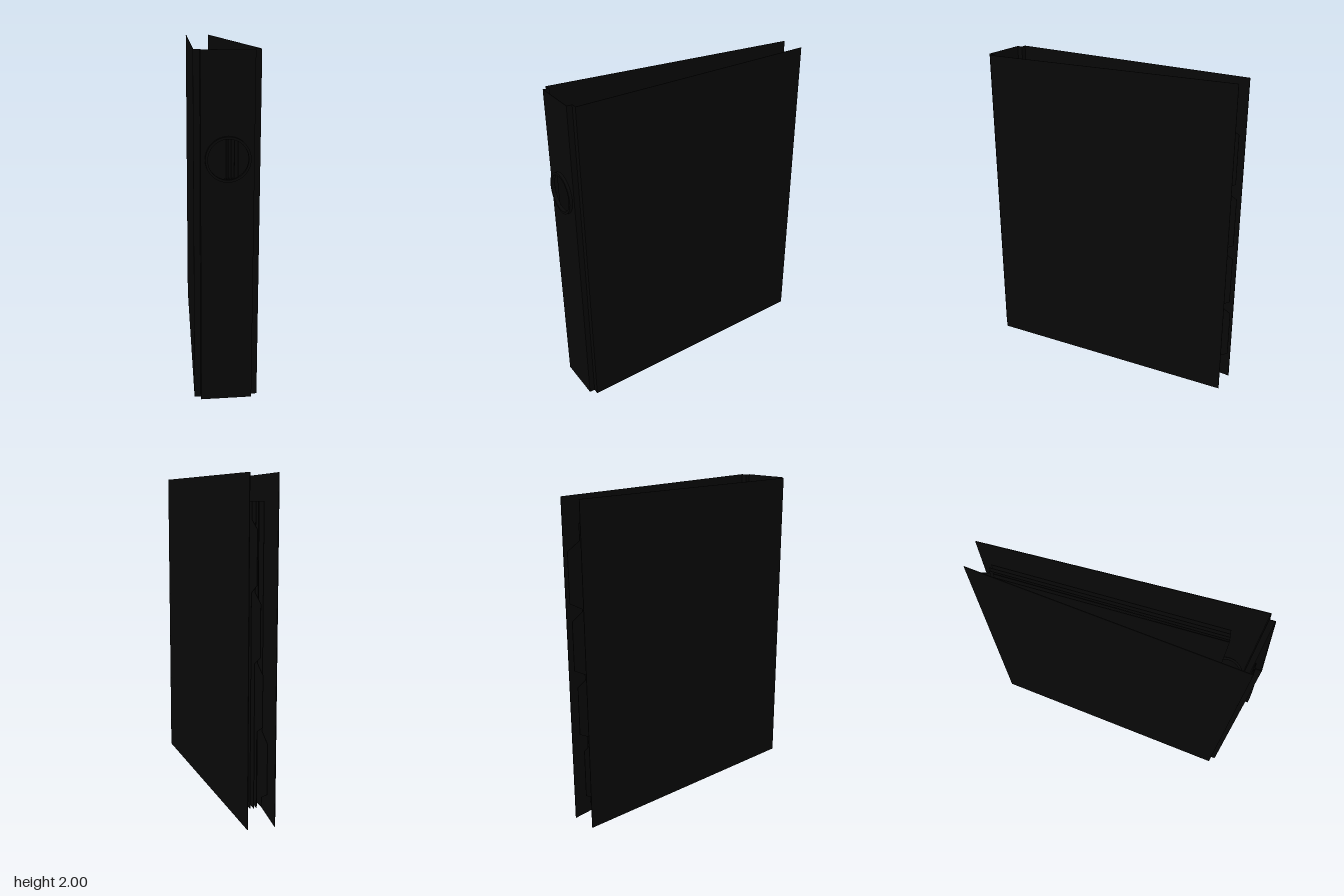
import * as THREE from 'three';

const black = new THREE.MeshStandardMaterial({ color: 0x080808, side: THREE.DoubleSide });

function mesh(name, geometry, parent) {
  const m = new THREE.Mesh(geometry, black);
  m.name = name;
  parent.add(m);
  return m;
}

// Upright thin board between two points of the plan (x, z)
function board(name, [x1, z1], [x2, z2], y0, y1, parent) {
  const length = Math.hypot(x2 - x1, z2 - z1);
  const m = mesh(name, new THREE.BoxGeometry(length, y1 - y0, 0.004), parent);
  m.position.set((x1 + x2) / 2, (y0 + y1) / 2, (z1 + z2) / 2);
  m.rotation.y = -Math.atan2(z2 - z1, x2 - x1);
  return m;
}

// Page outline with an optional index tab; u runs from the spine to the open edge
function page(name, [x1, z1], [x2, z2], tabY, parent) {
  const length = Math.hypot(x2 - x1, z2 - z1);
  const bottom = 0.09, top = 1.85;
  const edge = tabY === null ? length : length - 0.09;
  const s = new THREE.Shape();
  s.moveTo(0, bottom);
  s.lineTo(edge, bottom);
  if (tabY !== null) {
    s.lineTo(edge, tabY - 0.2);
    s.lineTo(length, tabY - 0.15);
    s.lineTo(length, tabY + 0.15);
    s.lineTo(edge, tabY + 0.2);
  }
  s.lineTo(edge, top);
  s.lineTo(0, top);
  const m = mesh(name, new THREE.ExtrudeGeometry(s, { depth: 0.003, bevelEnabled: false }), parent);
  m.position.set(x1, 0, z1);
  m.rotation.y = -Math.atan2(z2 - z1, x2 - x1);
}

export function createModel() {
  const model = new THREE.Group();
  model.name = 'ringBinder';
  const holeY = 1.42;

  // Covers
  board('leftCover', [0.18, 0.8], [0.077, -0.845], 0, 2, model);
  board('rightCover', [-0.182, 0.8], [-0.086, -0.845], 0, 2, model);

  // Spine panel with finger hole
  const panel = new THREE.Shape();
  panel.moveTo(-0.146, 0);
  panel.lineTo(0.143, 0);
  panel.lineTo(0.143, 2);
  panel.lineTo(-0.146, 2);
  panel.closePath();
  panel.holes.push(new THREE.Path().absarc(0, holeY, 0.113, 0, Math.PI * 2, true));
  mesh('spinePanel', new THREE.ExtrudeGeometry(panel, { depth: 0.004, bevelEnabled: false, curveSegments: 24 }), model)
    .position.z = 0.832;

  // Stepped hinges on both sides of the spine
  for (const [side, inner, outer] of [['left', 0.143, 0.182], ['right', -0.146, -0.184]]) {
    board(side + 'HingeStep', [inner, 0.836], [inner, 0.798], 0, 2, model);
    board(side + 'HingeFold', [inner, 0.8], [outer, 0.8], 0, 2, model);
  }

  // Grommet around the finger hole
  const rim = new THREE.Shape().absarc(0, 0, 0.125, 0, Math.PI * 2, false);
  rim.holes.push(new THREE.Path().absarc(0, 0, 0.111, 0, Math.PI * 2, true));
  mesh('fingerHoleGrommet', new THREE.ExtrudeGeometry(rim, { depth: 0.018, bevelEnabled: false, curveSegments: 24 }), model)
    .position.set(0, holeY, 0.837);

  // Binder rings
  for (const y of [0.75, 1.25]) {
    const ring = mesh('binderRing', new THREE.TorusGeometry(0.098, 0.008, 10, 48), model);
    ring.rotation.x = Math.PI / 2;
    ring.position.set(0.065, y, 0.685);
  }

  // Tabbed dividers, tabs stepping down towards the right cover
  const dividers = [
    [[0.085, 0.63], [0.032, -0.85], 1.55],
    [[0.063, 0.635], [0.011, -0.854], 1.15],
    [[0.044, 0.637], [-0.007, -0.848], 0.75],
    [[0.015, 0.64], [-0.039, -0.845], 0.35],
  ];
  for (const [front, back, tabY] of dividers) page('tabbedDivider', front, back, tabY, model);

  // Plain sheet
  page('plainSheet', [0.027, 0.64], [-0.015, -0.73], null, model);

  return model;
}
